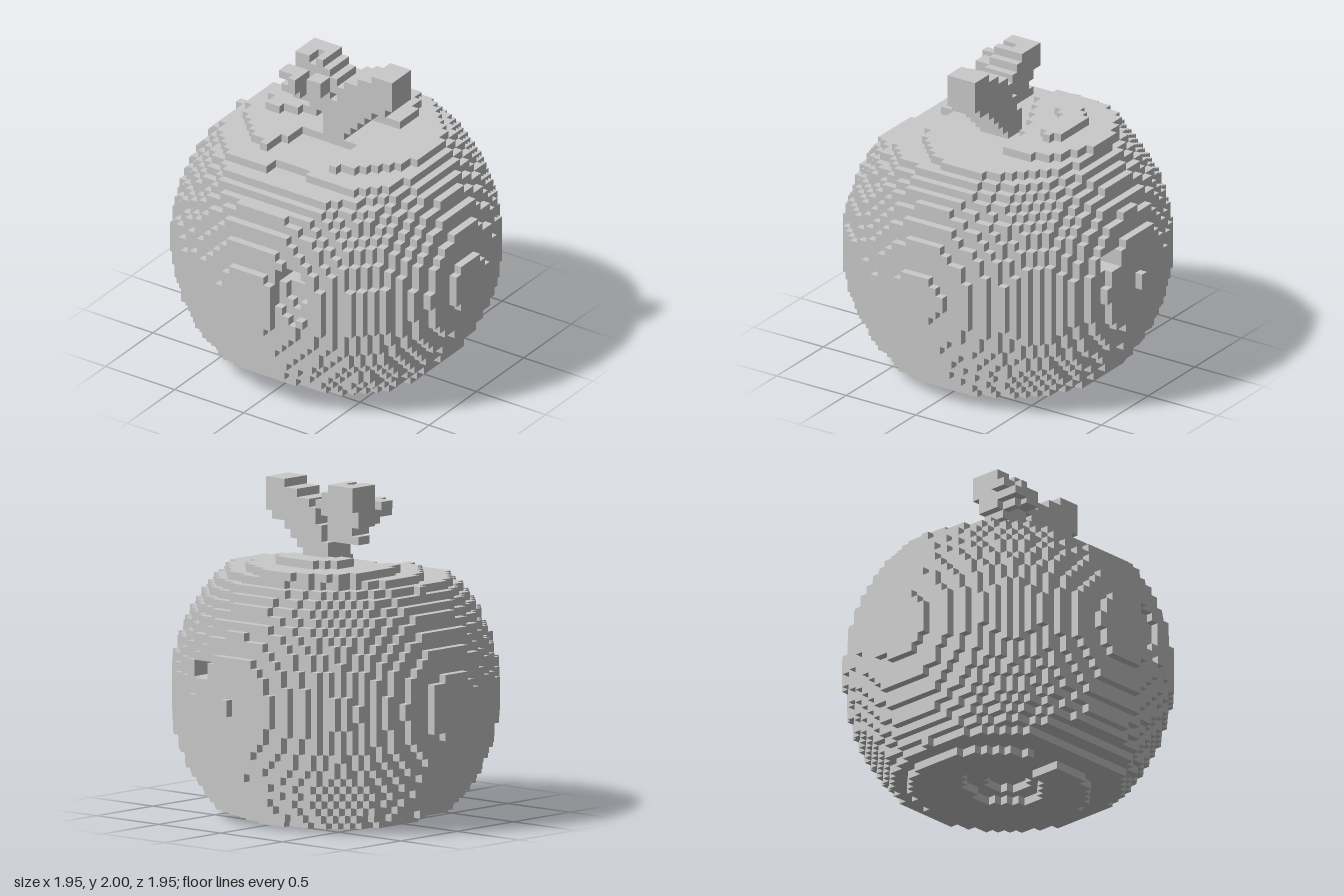
import * as THREE from 'three';

// Grid of cubes: x = i*S, y = (j+0.5)*S, z = k*S
const S = 0.05;
const key = (i, j, k) => `${i},${j},${k}`;

// Cells on the slab above the round body: the rim at the back of the dish
function inRim(x, y, z) {
  if (y > 1.55) { // crescent: [z, first x, last x]
    return [[-0.4, -0.2, 0.05], [-0.35, -0.25, 0.1], [-0.3, -0.3, 0.05], [-0.25, -0.3, -0.2], [-0.2, -0.3, -0.25]]
      .some(([rz, a, b]) => Math.abs(z - rz) < 0.01 && x > a - 0.01 && x < b + 0.01);
  }
  const edge = x < 0 ? -0.13 - 0.45 * x : -0.13 - 0.2 * x;
  return ((x + 0.1) / 0.44) ** 2 + ((z + 0.2) / 0.42) ** 2 < 1 && z < edge;
}

// Sloping shoulder: how far forward each of the top and bottom layers reaches
function frontLimit(x, j) {
  if (j === 28) return x < -0.1 ? 0.57 : x < 0.13 ? 0.47 : 0.52;
  return { 0: 0.42, 1: 0.57, 2: 0.67, 26: 0.72, 27: 0.67, 29: 0.42 }[j] ?? 1;
}

// Ball with a dished top, hollowed base, tunnel and bite
function inFruit(x, y, z, j) {
  if (y > 1.6) return false;
  if (y > 1.5) return inRim(x, y, z);
  const e = ((x + 0.004) / 0.968) ** 2 + ((y - 0.75) / 0.972) ** 2 + ((z - 0.0105) / 0.9616) ** 2;
  if (e > 1 || z > frontLimit(x, j)) return false;
  const r = Math.hypot(x, z);
  if (j === 29) { // top layer, open at the front centre
    if ((x / 0.64) ** 2 + ((z + 0.1) / 0.55) ** 2 > 1) return false;
    if (z > 0.1 && x > -0.12 - 0.3 * z && x < 0.21) return false;
  }
  if (j === 0) { // bottom ring with a shallow recess on one side
    if (r < 0.21 || ((x + 0.025) / 0.56) ** 2 + ((z + 0.05) / 0.51) ** 2 > 1) return false;
    if (x < 0 && z > -0.2 && r < 0.33 + 0.3 * z) return false;
  }
  if (j === 1 && r < 0.12) return false;
  if (x > 0.18 && x < 0.32 && y > 0.9 && y < 1.0) return false;
  return ((x - 0.3) / 0.15) ** 2 + ((y - 0.87) / 0.26) ** 2 + ((z - 1) / 0.17) ** 2 > 1;
}

function fruitCells() {
  const cells = new Set();
  for (let i = -20; i <= 20; i++)
    for (let j = 0; j < 32; j++)
      for (let k = -20; k <= 20; k++)
        if (inFruit(i * S, (j + 0.5) * S, k * S, j)) cells.add(key(i, j, k));
  return cells;
}

// Fill cells from rows of [j, first i, last i, first k, last k]
function rowCells(rows) {
  const cells = new Set();
  for (const [j, i0, i1, k0, k1] of rows)
    for (let i = i0; i <= i1; i++)
      for (let k = k0; k <= k1; k++) cells.add(key(i, j, k));
  return cells;
}

// Outer faces only, one quad per exposed cube side
function cubesGeometry(cells, all) {
  const pos = [], nor = [], idx = [];
  for (const c of cells) {
    const p = c.split(',').map(Number);
    const centre = [p[0] * S, (p[1] + 0.5) * S, p[2] * S];
    for (let a = 0; a < 3; a++) for (const s of [-1, 1]) {
      const q = [...p];
      q[a] += s;
      if (all.has(key(...q))) continue;
      const b = (a + 1) % 3, d = (a + 2) % 3, n = pos.length / 3;
      for (const [u, v] of [[-1, -1], [1, -1], [1, 1], [-1, 1]]) {
        const w = [...centre], m = [0, 0, 0];
        w[a] += s * S / 2;
        w[b] += u * S / 2;
        w[d] += v * S / 2;
        m[a] = s;
        pos.push(...w);
        nor.push(...m);
      }
      idx.push(...(s > 0 ? [n, n + 1, n + 2, n, n + 2, n + 3] : [n, n + 2, n + 1, n, n + 3, n + 2]));
    }
  }
  const g = new THREE.BufferGeometry();
  g.setAttribute('position', new THREE.Float32BufferAttribute(pos, 3));
  g.setAttribute('normal', new THREE.Float32BufferAttribute(nor, 3));
  g.setIndex(idx);
  return g;
}

export function createModel() {
  const grey = new THREE.MeshStandardMaterial({ color: 0xcacaca });
  grey.name = 'grey';

  const parts = {
    fruit: fruitCells(),
    // Stem leaning to the left as it rises
    stem: rowCells([
      [28, 0, 3], [29, 0, 3], [30, 0, 2], [31, 0, 3], [32, 0, 4], [33, 1, 5],
      [34, 1, 6], [35, 2, 8], [36, 2, 9], [37, 3, 9], [38, 5, 9], [39, 7, 9],
    ].map(([j, a, b]) => [j, a, b, -1, 2])),
    // Ragged leaf beside the stem
    leaf: rowCells([
      [33, -4, -3, 0, 1], [33, -2, 0, 0, 2],
      [34, -3, 0, 0, 2],
      [35, -4, 0, 0, 2], [35, -3, -3, 3, 4],
      [36, -4, 1, 0, 2], [36, -4, -3, 3, 5], [36, -1, 0, 3, 4],
      [37, -4, 1, -1, 2], [37, -5, -3, 3, 4], [37, -3, -3, 5, 5], [37, -1, 0, 3, 4],
      [38, -4, 0, -1, 2],
      [39, -4, -3, -1, 2], [39, -2, -2, -1, 0], [39, -1, -1, -1, 2],
    ]),
  };

  const all = new Set(Object.values(parts).flatMap((cells) => [...cells]));
  const group = new THREE.Group();
  group.name = 'blockFruit';
  for (const [name, cells] of Object.entries(parts)) {
    const mesh = new THREE.Mesh(cubesGeometry(cells, all), grey);
    mesh.name = name;
    group.add(mesh);
  }
  return group;
}
